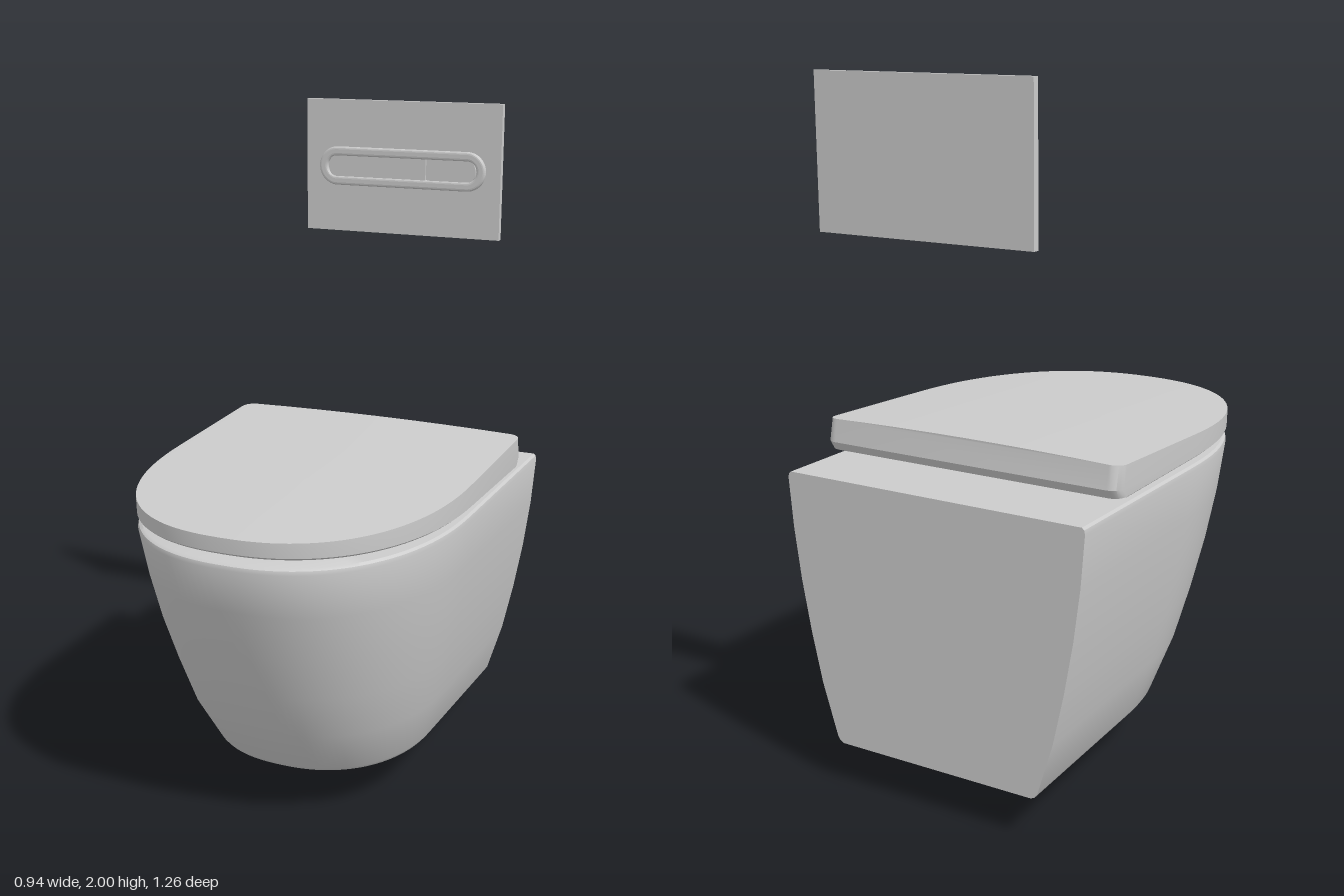
import * as THREE from 'three';
import { toCreasedNormals } from 'three/addons/utils/BufferGeometryUtils.js';

const BACK = -0.63;
const lerp = THREE.MathUtils.lerp;
const grey = () => new THREE.MeshStandardMaterial({ color: 0xcccccc });

// D-shaped plan outline: straight sides, superelliptic front, optional rounded rear corners
function outline(w, front, zc, back, r) {
  const right = [];
  if (r === undefined) right.push([w, back]);
  else for (let i = 0; i <= 6; i++) {
    const a = (i / 6) * Math.PI / 2;
    right.push([w - r + r * Math.sin(a), back + r - r * Math.cos(a)]);
  }
  const N = 32, e = 2 / 2.3;
  for (let i = 0; i < N; i++) {
    const a = (i / N) * Math.PI / 2;
    right.push([w * Math.cos(a) ** e, zc + (front - zc) * Math.sin(a) ** e]);
  }
  const left = right.map(([x, z]) => [-x, z]).reverse();
  return [...right, [0, front], ...left];
}

// Skin a stack of closed rings that all have the same number of points
function loft(rings, crease = 0.6) {
  const n = rings[0].length, index = [];
  for (let i = 0; i < rings.length - 1; i++) {
    for (let j = 0; j < n; j++) {
      const k = (j + 1) % n;
      const a = i * n + j, b = i * n + k, c = b + n, d = a + n;
      index.push(a, c, b, a, d, c);
    }
  }
  const g = new THREE.BufferGeometry();
  g.setAttribute('position', new THREE.Float32BufferAttribute(rings.flat(2), 3));
  g.setIndex(index);
  return toCreasedNormals(g, crease);
}

function add(parent, name, geometry) {
  const m = new THREE.Mesh(geometry, grey());
  m.name = name;
  parent.add(m);
  return m;
}

// Body: flared shell with a flat back, closed base, flat rim and hollow bowl
function bodyGeometry() {
  const rows = [ // height at the back, half width, front z, start of the curved front
    [0.127, 0, -0.1, -0.1], [0.127, 0.31, 0.28, -0.1], [0.133, 0.322, 0.295, -0.1],
    [0.145, 0.33, 0.306, -0.1], [0.3, 0.377, 0.41, -0.07], [0.45, 0.41, 0.475, -0.05],
    [0.6, 0.437, 0.535, -0.03], [0.75, 0.457, 0.583, -0.01], [0.895, 0.469, 0.626, 0],
    [0.907, 0.467, 0.623, 0], [0.913, 0.46, 0.614, 0],
  ];
  const tilt = (y, z) => y + lerp(0.025, -0.01, (y - 0.127) / 0.786) * (z - BACK);
  const rings = rows.map(([y, w, f, zc]) =>
    outline(w, f, zc, BACK).map(([x, z]) => [x, tilt(y, z), z]));
  // bowl rings follow the rim outline by angle
  const rim = rings[rings.length - 1];
  const bowl = [[0.913, 0.32, 0.4, 0.1], [0.87, 0.32, 0.4, 0.1], [0.6, 0.27, 0.33, 0.03],
    [0.35, 0.18, 0.23, -0.08], [0.2, 0.1, 0.14, -0.14], [0.16, 0, 0, -0.15]];
  for (const [y, a, b, zc] of bowl) {
    rings.push(rim.map(([px, , pz]) => {
      const t = Math.atan2(px, pz - 0.1);
      const z = zc + b * Math.cos(t);
      return [a * Math.sin(t), tilt(y, z), z];
    }));
  }
  return loft(rings);
}

// Lid: wedge rising to the rear, slightly crowned, with a slanted rear edge
function lidGeometry() {
  const top = (x, z) => 0.974 + 0.052 * (0.63 - z) - 0.008 * (x / 0.47) ** 2;
  const ring = (w, f, back, r, y) =>
    outline(w, f, 0, back, r).map(([x, z]) => [x, y ?? top(x, z), z]);
  const rings = [
    ring(0, 0, -0.425, 0, 0.926),
    ring(0.463, 0.622, -0.425, 0.035, 0.926),
    ring(0.47, 0.629, -0.445, 0.035, 0.932),
    ring(0.471, 0.63, -0.461, 0.035, 0.958),
    ring(0.471, 0.63, -0.447, 0.035),
  ];
  for (const k of [0.75, 0.5, 0.25, 0]) rings.push(ring(0.471 * k, 0.63 * k, -0.447, 0.035 * k));
  return loft(rings);
}

// Pill outline from x0 to x1; either end can be square
function pill(path, x0, x1, h, roundLeft = true, roundRight = true) {
  const q = Math.PI / 2;
  if (roundRight) {
    path.moveTo(x1 - h, -h);
    path.absarc(x1 - h, 0, h, -q, q, false);
  } else {
    path.moveTo(x1, -h);
    path.lineTo(x1, h);
  }
  if (roundLeft) path.absarc(x0 + h, 0, h, q, 3 * q, false);
  else {
    path.lineTo(x0, h);
    path.lineTo(x0, -h);
  }
  path.closePath();
  return path;
}

function flushPlate() {
  const g = new THREE.Group();
  g.name = 'flushPlate';
  add(g, 'wallPlate', new THREE.BoxGeometry(0.65, 0.412, 0.02)).position.set(0, 1.794, -0.62);

  // raised bevelled surround
  const shape = pill(new THREE.Shape(), -0.27, 0.27, 0.052);
  shape.holes.push(pill(new THREE.Path(), -0.258, 0.258, 0.04));
  const surround = add(g, 'buttonSurround', new THREE.ExtrudeGeometry(shape, {
    depth: 0.006, bevelThickness: 0.006, bevelSize: 0.008, bevelOffset: 0, bevelSegments: 3, curveSegments: 16,
  }));
  surround.position.set(0, 1.794, -0.61);

  // large and small buttons
  const opts = { depth: 0.008, bevelEnabled: false, curveSegments: 16 };
  const large = pill(new THREE.Shape(), -0.246, 0.082, 0.03 + 0.014, true, false);
  const small = pill(new THREE.Shape(), 0.088, 0.246, 0.03 + 0.014, false, true);
  add(g, 'largeButton', new THREE.ExtrudeGeometry(large, opts)).position.set(0, 1.794, -0.611);
  add(g, 'smallButton', new THREE.ExtrudeGeometry(small, opts)).position.set(0, 1.794, -0.611);
  return g;
}

export function createModel() {
  const model = new THREE.Group();
  model.name = 'wallHungToilet';

  add(model, 'body', bodyGeometry());
  add(model, 'lid', lidGeometry());

  // rounded underside of the bowl showing below the base
  const dome = new THREE.SphereGeometry(1, 40, 14, 0, Math.PI * 2, Math.PI / 2, Math.PI / 2);
  dome.scale(0.122, 0.142, 0.19);
  add(model, 'bowlUnderside', dome).position.set(0, 0.142, -0.15);

  model.add(flushPlate());
  return model;
}
